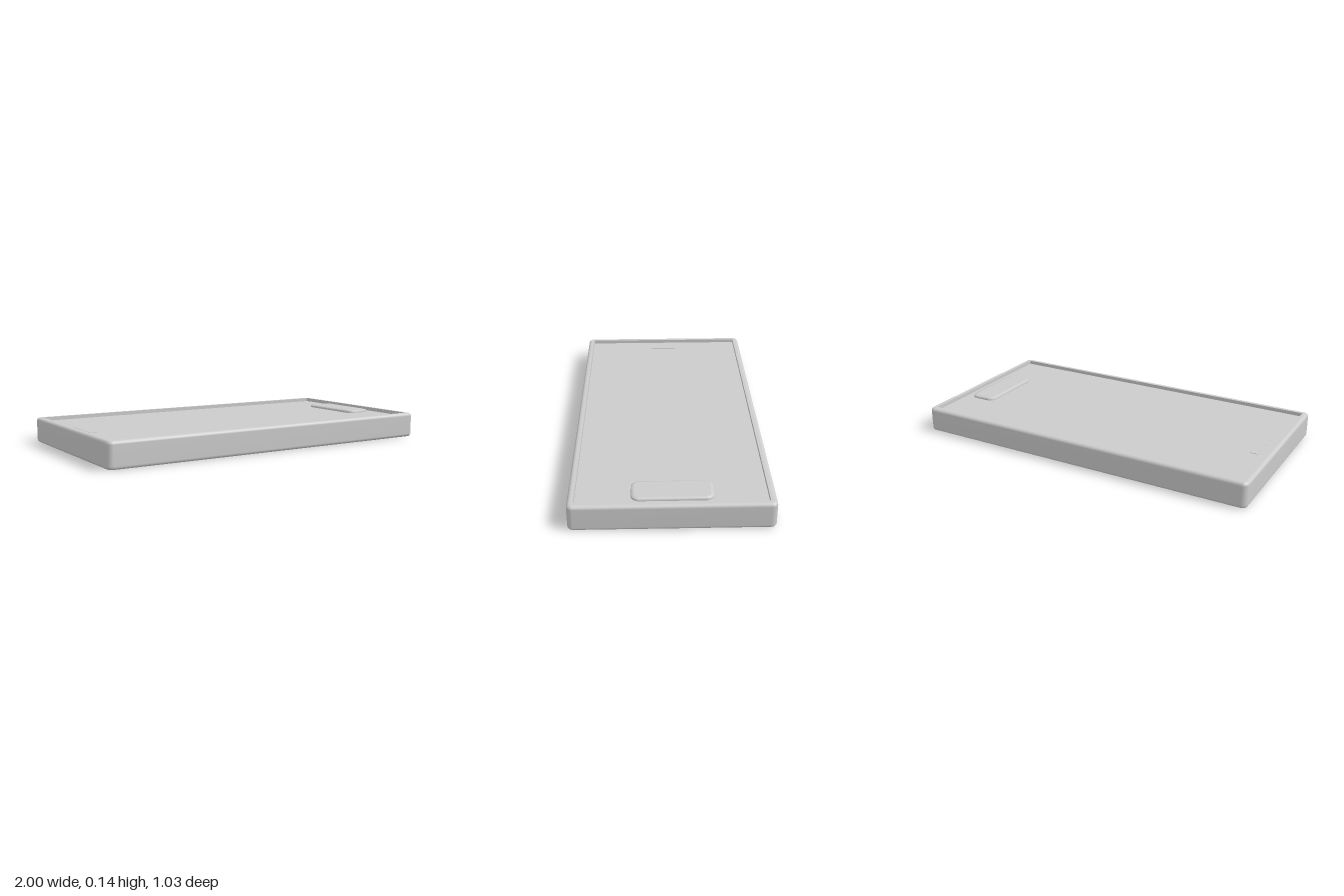
import * as THREE from 'three';

const material = new THREE.MeshStandardMaterial({ color: 0xcccccc });
const CORNER = 6; // segments per rounded corner

// Rounded rectangle loop with half sizes hx, hz and corner radius r
function loop(hx, hz, r) {
  const points = [];
  const centres = [[1, 1], [-1, 1], [-1, -1], [1, -1]];
  centres.forEach(([sx, sz], q) => {
    for (let i = 0; i <= CORNER; i++) {
      const a = (q + i / CORNER) * Math.PI / 2;
      points.push([sx * (hx - r) + r * Math.cos(a), sz * (hz - r) + r * Math.sin(a)]);
    }
  });
  return points;
}

// Skin between rounded rectangles [hx, hz, r, y], optionally capped at each end
function loft(name, rings, capStart = false, capEnd = false) {
  const pos = [], index = [];
  const addRing = ([hx, hz, r, y]) => {
    const start = pos.length / 3;
    loop(hx, hz, r).forEach(([x, z]) => pos.push(x, y, z));
    return start;
  };
  const n = 4 * (CORNER + 1);
  const starts = rings.map(addRing);
  for (let k = 0; k < starts.length - 1; k++) {
    for (let i = 0; i < n; i++) {
      const j = (i + 1) % n, a = starts[k], b = starts[k + 1];
      index.push(a + i, b + i, a + j, a + j, b + i, b + j);
    }
  }
  const cap = (ring, up) => {
    const s = addRing(ring), c = pos.length / 3;
    pos.push(0, ring[3], 0);
    for (let i = 0; i < n; i++) {
      const j = (i + 1) % n;
      if (up) index.push(c, s + j, s + i);
      else index.push(c, s + i, s + j);
    }
  };
  if (capStart) cap(rings[0], false);
  if (capEnd) cap(rings[rings.length - 1], true);
  const geometry = new THREE.BufferGeometry();
  geometry.setAttribute('position', new THREE.Float32BufferAttribute(pos, 3));
  geometry.setIndex(index);
  geometry.computeVertexNormals();
  const mesh = new THREE.Mesh(geometry, material);
  mesh.name = name;
  return mesh;
}

export function createModel() {
  const group = new THREE.Group();
  group.name = 'handset';

  const W = 1, D = 0.515, H = 0.143, R = 0.03, B = 0.018;
  const IX = 0.965, IZ = 0.48, PANEL = 0.122;

  // Outer case with rounded lower and upper edges
  const edge = (t) => B * (1 - Math.sin(t)); // inset along the quarter round
  const rings = [];
  for (let i = 0; i <= 4; i++) {
    const t = i / 4 * Math.PI / 2, e = edge(t);
    rings.push([W - e, D - e, R - e, B * (1 - Math.cos(t))]);
  }
  const upper = rings.map(([x, z, r, y]) => [x, z, r, H - y]).reverse();
  group.add(loft('case', [...rings, ...upper], true));

  // Flat rim and the step down to the screen
  const rimOuter = [W - B, D - B, R - B, H];
  const rimInner = [IX, IZ, 0.004, H];
  group.add(loft('rim', [rimOuter, rimInner]));
  group.add(loft('rimInnerWall', [rimInner, [IX, IZ, 0.004, PANEL]]));

  // Recessed screen
  const screen = new THREE.Mesh(new THREE.PlaneGeometry(IX * 2, IZ * 2), material);
  screen.name = 'screen';
  screen.rotation.x = -Math.PI / 2;
  screen.position.y = PANEL;
  group.add(screen);

  // Raised home button with softened edges
  const button = loft('homeButton', [
    [0.08, 0.207, 0.04, 0],
    [0.08, 0.207, 0.04, 0.008],
    [0.076, 0.203, 0.036, 0.013],
    [0.066, 0.192, 0.028, 0.016],
  ], false, true);
  button.position.set(0.848, PANEL, -0.004);
  group.add(button);

  // Thin earpiece strip
  const earpiece = new THREE.Mesh(new THREE.BoxGeometry(0.045, 0.003, 0.215), material);
  earpiece.name = 'earpiece';
  earpiece.position.set(-0.893, PANEL + 0.0005, -0.022);
  group.add(earpiece);

  return group;
}
